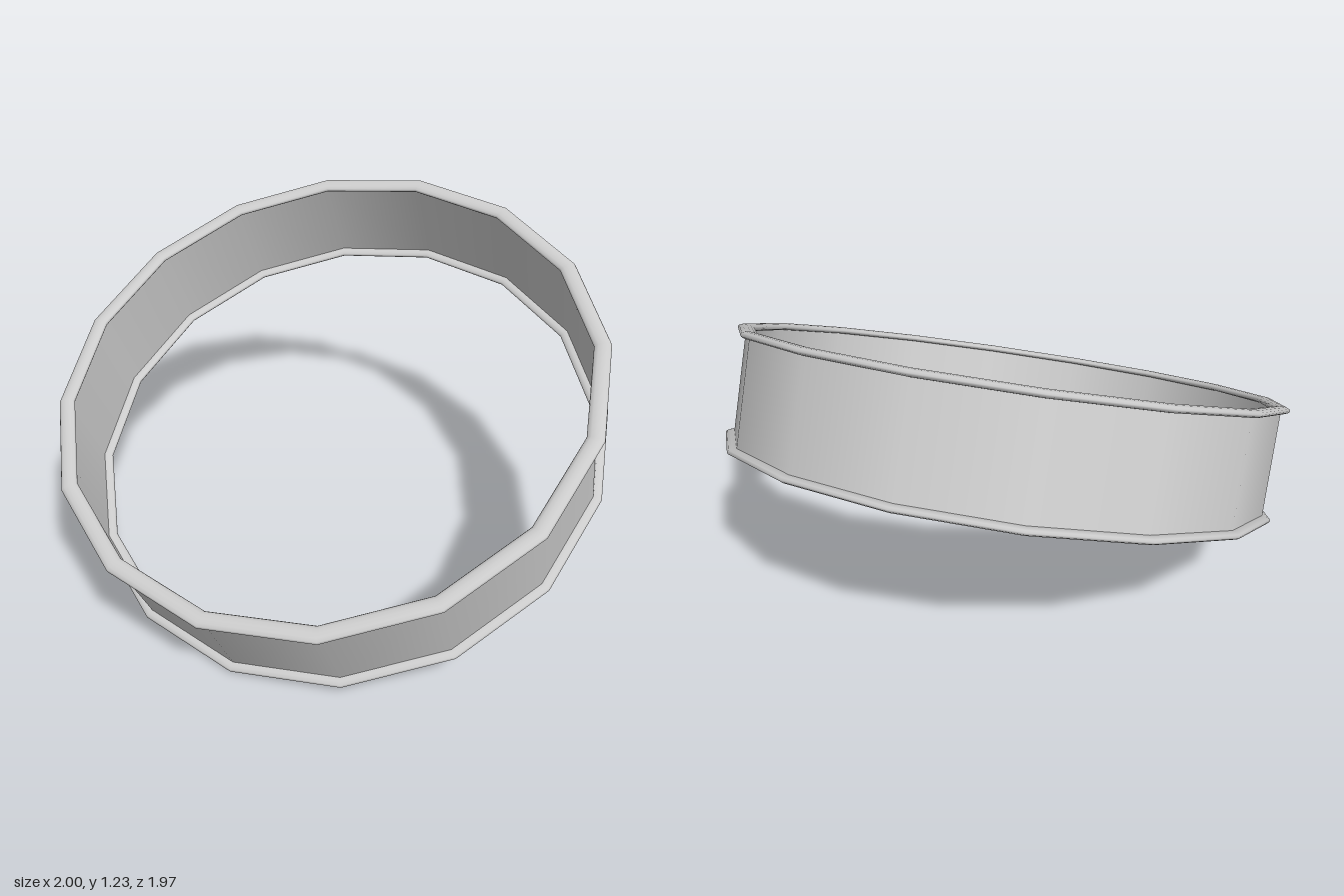
import * as THREE from 'three';

const SIDES = 16;
const RADIUS = 0.97;   // band radius
const HEIGHT = 0.385;  // distance between the two rims
const TILT = THREE.MathUtils.degToRad(26);

export function createModel() {
  const material = new THREE.MeshStandardMaterial({ color: 0xcccccc, side: THREE.DoubleSide });
  const hoop = new THREE.Group();
  hoop.name = 'tiltedHoop';

  // Thin open band
  const band = new THREE.Mesh(
    new THREE.CylinderGeometry(RADIUS, RADIUS, HEIGHT, SIDES, 1, true), material);
  band.name = 'band';
  hoop.add(band);

  // Flattened rounded rims along both edges
  const rimGeometry = new THREE.TorusGeometry(RADIUS, 0.03, 12, SIDES);
  rimGeometry.scale(1, 1, 0.45);
  rimGeometry.rotateX(Math.PI / 2);
  for (const [name, side] of [['upperRim', 1], ['lowerRim', -1]]) {
    const rim = new THREE.Mesh(rimGeometry, material);
    rim.name = name;
    rim.position.y = side * HEIGHT / 2;
    hoop.add(rim);
  }

  // Lean the hoop so its front edge sits low
  hoop.rotation.x = TILT;
  hoop.position.y = 0.626;

  const model = new THREE.Group();
  model.name = 'hoopModel';
  model.add(hoop);
  return model;
}
